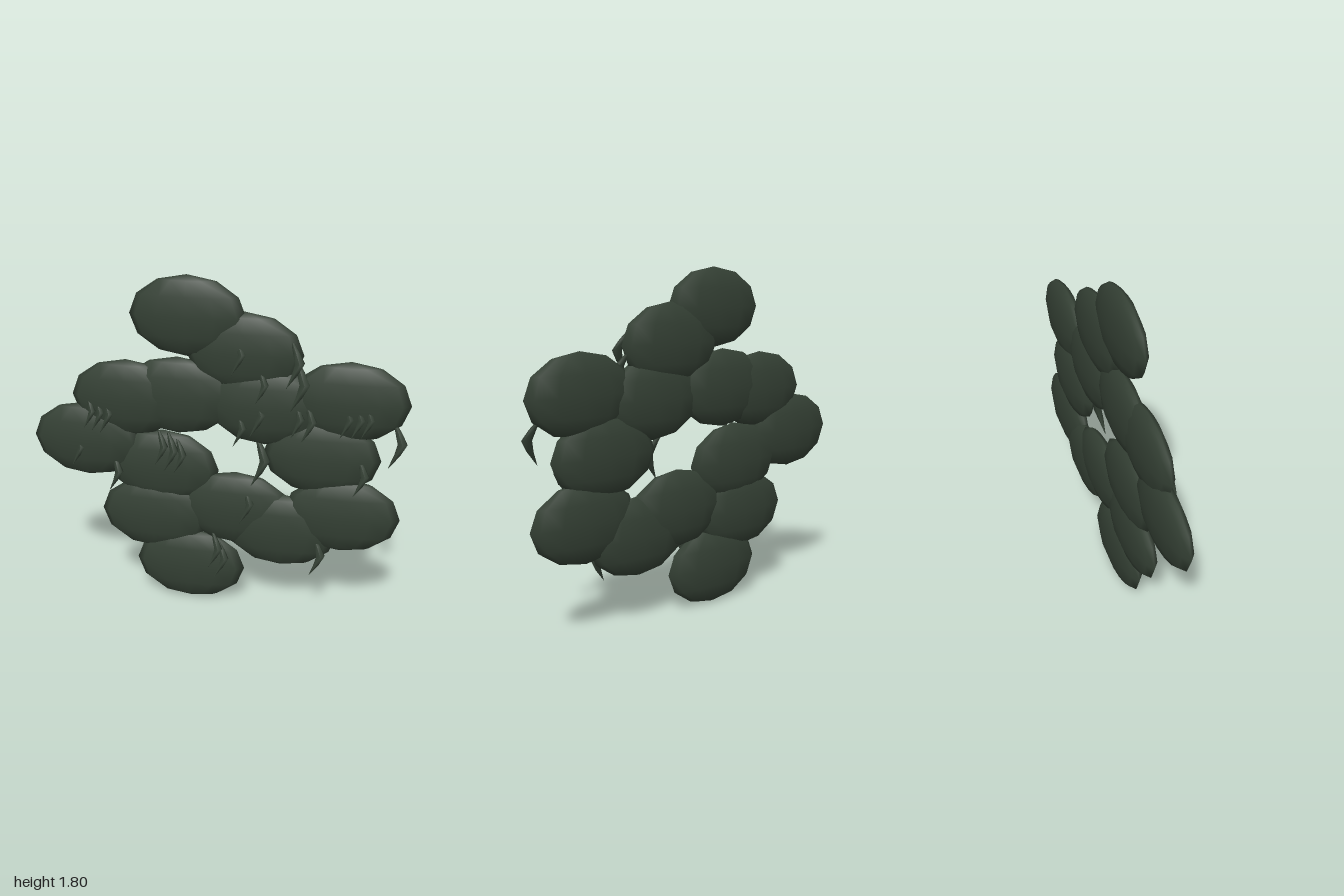
import * as THREE from 'three';

const leafGreen = new THREE.MeshStandardMaterial({ color: 0x344034 });
leafGreen.name = 'dark leaf green';

// Flattened leaf pad, shared by every leaf
function leafGeometry() {
  const g = new THREE.SphereGeometry(1, 12, 6);
  g.scale(0.302, 0.207, 0.063);
  return g;
}

// Hooked thorn of unit height, hanging from its root at the origin.
// Each station: x, y, z of the centre line, then half width and half depth.
const stations = [
  [0.0, 0.0, 0.0, 0.035, 0.03],
  [0.1, -0.2, 0.09, 0.085, 0.06],
  [0.2, -0.43, 0.17, 0.12, 0.09],
  [0.1, -0.68, 0.22, 0.075, 0.06],
  [-0.08, -1.0, 0.26, 0.004, 0.004],
];
function thornGeometry() {
  const g = new THREE.CylinderGeometry(1, 1, 1, 6, stations.length - 1);
  const p = g.attributes.position;
  for (let i = 0; i < p.count; i++) {
    const [x, y, z, w, d] = stations[Math.round((0.5 - p.getY(i)) * (stations.length - 1))];
    p.setXYZ(i, x + p.getX(i) * w, y, z + p.getZ(i) * d);
  }
  g.computeVertexNormals();
  return g;
}

// Leaf centres: x, y, z
const leaves = [
  [-0.135, 1.602, 0], [0.155, 1.43, -0.008],
  [-0.465, 1.15, 0], [-0.19, 1.18, -0.006], [0.27, 1.155, -0.004], [0.692, 1.21, -0.003],
  [-0.695, 0.9, 0], [-0.275, 0.775, -0.008], [0.565, 0.905, -0.006],
  [0.12, 0.57, -0.006], [0.68, 0.59, 0], [0.365, 0.468, -0.003],
  [-0.325, 0.495, -0.004], [-0.13, 0.212, 0],
];

// Thorn roots: x, y, height
const thorns = [
  [0.12, 1.51, 0.18], [0.4, 1.5, 0.22], [0.24, 1.355, 0.17], [0.42, 1.4, 0.25],
  [0.425, 1.19, 0.17], [0.48, 1.19, 0.19], [0.22, 1.21, 0.2], [0.13, 1.12, 0.17],
  [0.67, 1.21, 0.17], [0.725, 1.21, 0.17], [0.775, 1.21, 0.16],
  [0.92, 1.115, 0.22], [0.755, 0.92, 0.19], [0.23, 0.975, 0.245],
  [0.17, 0.705, 0.19], [0.55, 0.45, 0.2], [0, 0.42, 0.19], [0.035, 0.365, 0.19],
  [-0.545, 0.825, 0.19], [-0.29, 0.985, 0.18], [-0.24, 0.975, 0.2], [-0.19, 0.945, 0.18],
  [-0.75, 0.945, 0.18], [-0.675, 1.145, 0.16], [-0.63, 1.145, 0.17], [-0.585, 1.145, 0.18],
];

export function createModel() {
  const model = new THREE.Group();
  model.name = 'thornyHedge';

  const leafShape = leafGeometry();
  leaves.forEach(([x, y, z]) => {
    const leaf = new THREE.Mesh(leafShape, leafGreen);
    leaf.name = 'leafPad';
    leaf.position.set(x, y, z);
    model.add(leaf);
  });

  const thornShape = thornGeometry();
  thorns.forEach(([x, y, h]) => {
    const thorn = new THREE.Mesh(thornShape, leafGreen);
    thorn.name = 'thorn';
    thorn.position.set(x, y, 0.052 - 0.22 * h);
    thorn.scale.setScalar(h);
    if (x > 0.9 || h > 0.24) thorn.position.z -= 0.01;
    else thorn.position.z += 0.008;
    model.add(thorn);
  });
  return model;
}
